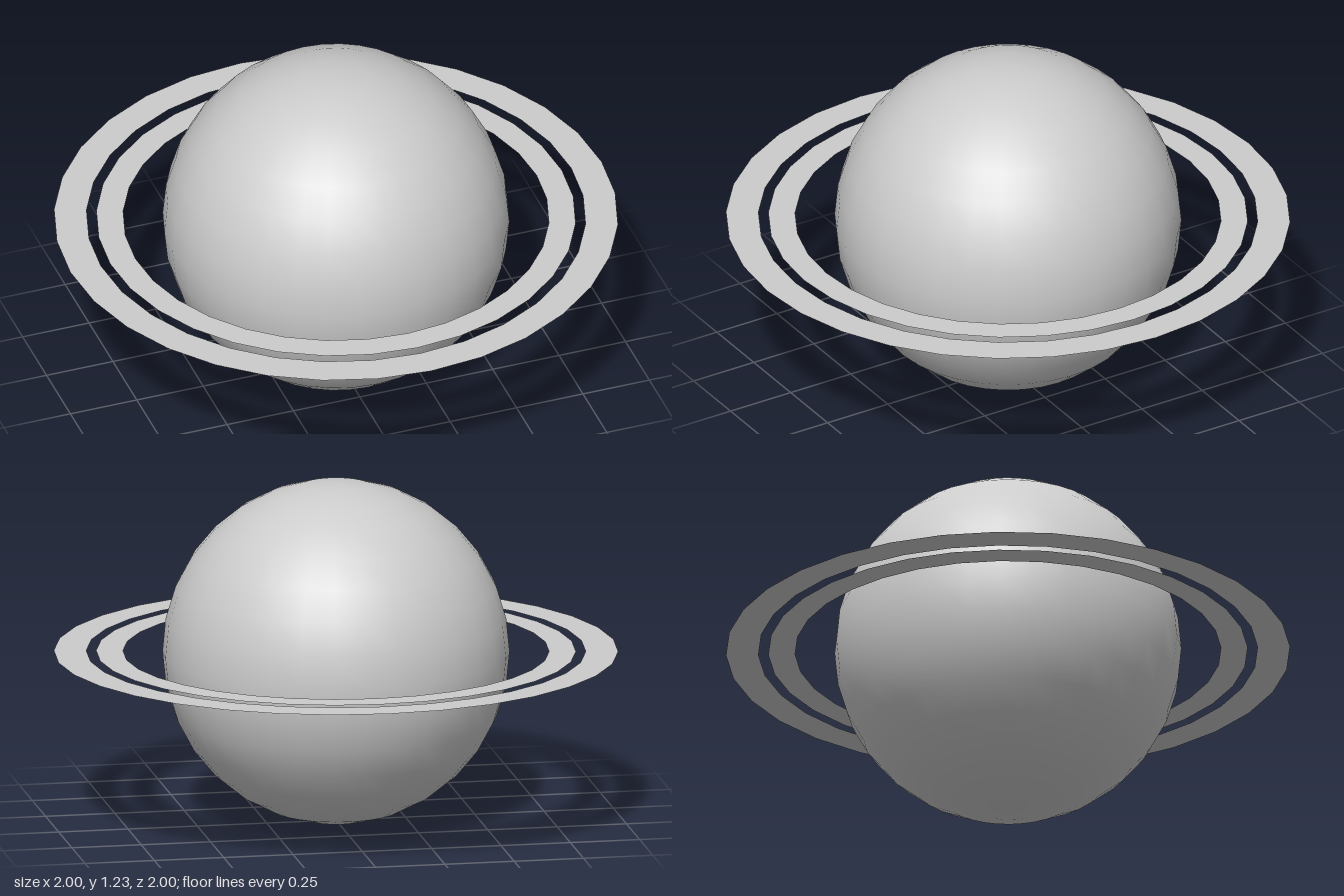
import * as THREE from 'three';

const RADIUS = 0.615;
const SEGMENTS = 32;

export function createModel() {
  const model = new THREE.Group();
  model.name = 'ringedPlanet';

  // Smooth globe resting on the ground plane
  const globe = new THREE.Mesh(
    new THREE.SphereGeometry(RADIUS, SEGMENTS, SEGMENTS / 2),
    new THREE.MeshStandardMaterial({ color: 0xcccccc })
  );
  globe.name = 'globe';
  globe.position.y = RADIUS;
  model.add(globe);

  // Two flat concentric rings around the equator
  const ringMaterial = new THREE.MeshStandardMaterial({ color: 0xcccccc, side: THREE.DoubleSide });
  const rings = [
    ['innerRing', 0.755, 0.85],
    ['outerRing', 0.885, 1],
  ];
  for (const [name, inner, outer] of rings) {
    const geometry = new THREE.RingGeometry(inner, outer, SEGMENTS).rotateX(-Math.PI / 2);
    const ring = new THREE.Mesh(geometry, ringMaterial);
    ring.name = name;
    ring.position.y = RADIUS;
    model.add(ring);
  }

  return model;
}
